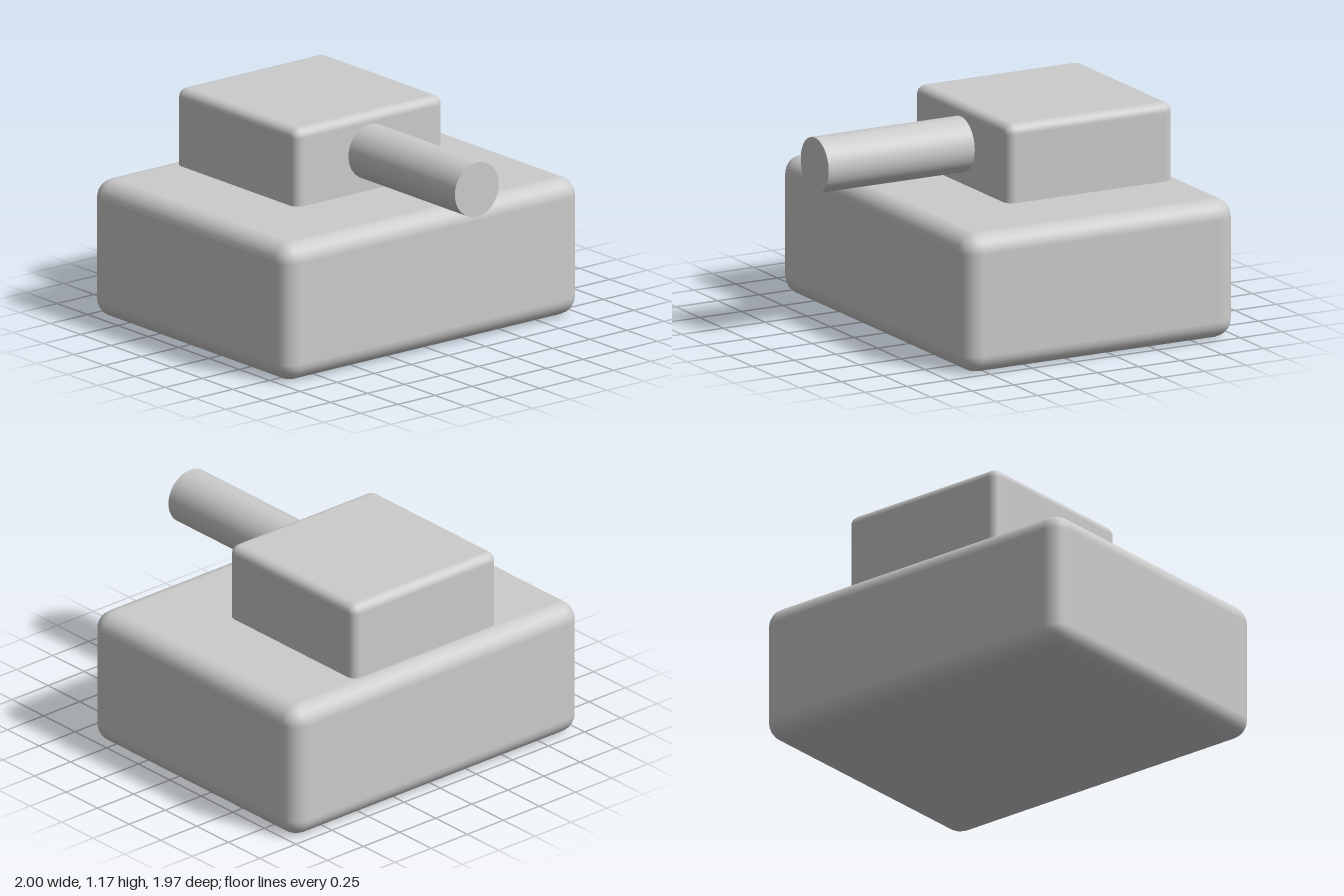
import * as THREE from 'three';
import { RoundedBoxGeometry } from 'three/addons/geometries/RoundedBoxGeometry.js';

export function createModel() {
  const model = new THREE.Group();
  model.name = 'tank';
  const grey = new THREE.MeshStandardMaterial({ color: 0xcccccc });

  const add = (name, geometry, x, y, z) => {
    const mesh = new THREE.Mesh(geometry, grey);
    mesh.name = name;
    mesh.position.set(x, y, z);
    model.add(mesh);
    return mesh;
  };

  // Rounded block given by its y and z extents
  const block = (name, width, [y0, y1], [z0, z1], radius) =>
    add(name, new RoundedBoxGeometry(width, y1 - y0, z1 - z0, 3, radius),
      0, (y0 + y1) / 2, (z0 + z1) / 2);

  // Hull, with the turret sunk slightly into its deck
  block('hull', 2, [0, 0.75], [-0.985, 0.637], 0.1);
  block('turret', 1, [0.67, 1.17], [-0.887, 0.109], 0.05);

  // Gun barrel, starting just inside the turret front
  const barrelStart = 0.09, barrelEnd = 0.985;
  const barrel = add('barrel',
    new THREE.CylinderGeometry(0.148, 0.148, barrelEnd - barrelStart, 48),
    0, 0.962, (barrelStart + barrelEnd) / 2);
  barrel.rotation.x = Math.PI / 2;

  return model;
}
